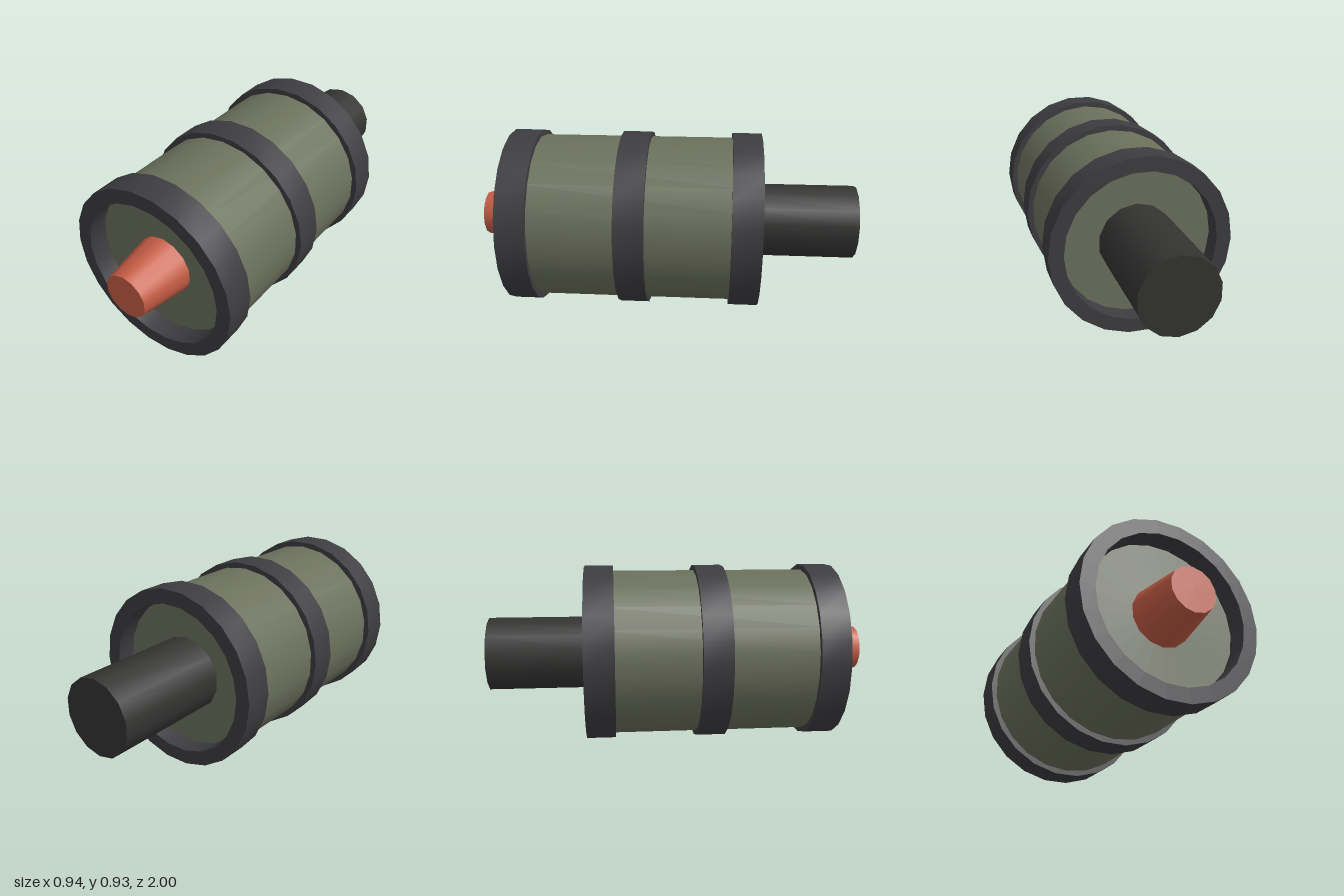
import * as THREE from 'three';
import { toCreasedNormals } from 'three/addons/utils/BufferGeometryUtils.js';

const AXIS_Y = 0.4635; // height of the long axis
const mat = (color) => new THREE.MeshStandardMaterial({ color });

// Cylinder or cone along z, from zBack to zFront
function drum(name, rFront, rBack, zBack, zFront, sides, material) {
  const geo = new THREE.CylinderGeometry(rFront, rBack, zFront - zBack, sides);
  geo.rotateX(Math.PI / 2);
  const mesh = new THREE.Mesh(geo, material);
  mesh.name = name;
  mesh.position.set(0, AXIS_Y, (zFront + zBack) / 2);
  return mesh;
}

// Square-section hoop, with a corner on each side at +x and -x
function hoopGeometry(inner, outer, width, sides) {
  const h = width / 2;
  const profile = [[inner, -h], [outer, -h], [outer, h], [inner, h], [inner, -h]]
    .map(([r, y]) => new THREE.Vector2(r, y));
  const geo = new THREE.LatheGeometry(profile, sides, Math.PI / 2);
  geo.rotateX(Math.PI / 2);
  return toCreasedNormals(geo, 0.6);
}

export function createModel() {
  const group = new THREE.Group();
  group.name = 'canister';
  const olive = mat(0x6b705c);
  const dark = mat(0x3d3c40);
  const black = mat(0x333432);
  const red = mat(0xc65d45);

  // Main body, recessed inside the end hoops
  group.add(drum('body', 0.44, 0.44, -0.39, 0.73, 22, olive));

  // Three hoops around the body
  const hoop = hoopGeometry(0.392, 0.468, 0.153, 22);
  [['frontHoop', 0.757], ['middleHoop', 0.168], ['backHoop', -0.415]].forEach(([name, z]) => {
    const mesh = new THREE.Mesh(hoop, dark);
    mesh.name = name;
    mesh.position.set(0, AXIS_Y, z);
    group.add(mesh);
  });

  // Tapered nozzle at the front and pipe at the back
  group.add(drum('nozzle', 0.116, 0.156, 0.728, 1, 14, red));
  group.add(drum('pipe', 0.195, 0.195, -1, -0.388, 14, black));

  return group;
}
